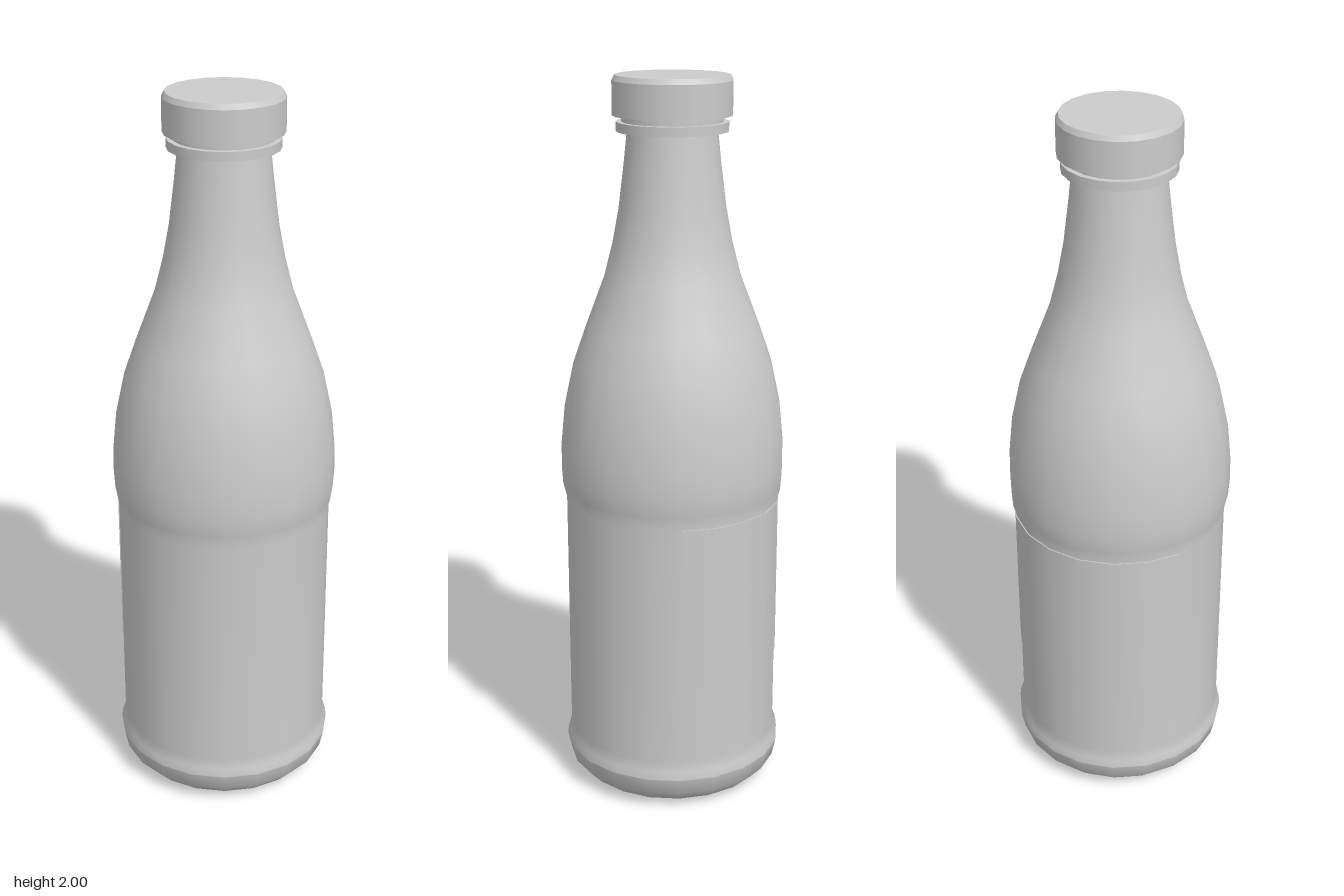
import * as THREE from 'three';

const SIDES = 20;
const material = new THREE.MeshStandardMaterial({ color: 0xcccccc, side: THREE.DoubleSide });

// Each profile is a smooth run of [radius, height]; edges between runs stay sharp.
function turned(name, profiles, sides = SIDES, start = 0, sweep = Math.PI * 2) {
  const group = new THREE.Group();
  group.name = name;
  profiles.forEach((profile, i) => {
    const points = profile.map(([r, y]) => new THREE.Vector2(r, y));
    const mesh = new THREE.Mesh(new THREE.LatheGeometry(points, sides, start, sweep), material);
    mesh.name = `${name}Surface${i + 1}`;
    group.add(mesh);
  });
  return group;
}

export function createModel() {
  const model = new THREE.Group();
  model.name = 'bottle';

  // Rounded foot with a flat underside
  model.add(turned('base', [
    [[0, 0], [0.225, 0]],
    [[0.225, 0], [0.268, 0.018], [0.3, 0.052], [0.31, 0.098]],
  ]));

  // Straight waist, swollen shoulder and tapering neck
  model.add(turned('body', [
    [[0.31, 0.098], [0.307, 0.122], [0.298, 0.15], [0.298, 0.84], [0.308, 0.88],
      [0.311, 0.93], [0.31, 1.0], [0.299, 1.11], [0.273, 1.23], [0.238, 1.33],
      [0.185, 1.47], [0.162, 1.56], [0.145, 1.65], [0.13, 1.77], [0.121, 1.855]],
  ]));

  // Collar below the cap
  model.add(turned('neckRing', [
    [[0.121, 1.855], [0.15, 1.855]],
    [[0.15, 1.855], [0.15, 1.88]],
    [[0.15, 1.88], [0.135, 1.88]],
    [[0.135, 1.88], [0.135, 1.896]],
  ]));

  // Cap with a bevelled rim
  model.add(turned('cap', [
    [[0.135, 1.896], [0.16, 1.896]],
    [[0.16, 1.896], [0.16, 1.986]],
    [[0.16, 1.986], [0.153, 2.0]],
    [[0.153, 2.0], [0, 2.0]],
  ]));

  // Thin label wrapped around the back
  model.add(turned('label', [
    [[0.298, 0.39], [0.301, 0.39]],
    [[0.301, 0.39], [0.301, 0.84]],
    [[0.301, 0.84], [0.298, 0.84]],
  ], 8, Math.PI * 0.6, Math.PI * 0.8));

  return model;
}
